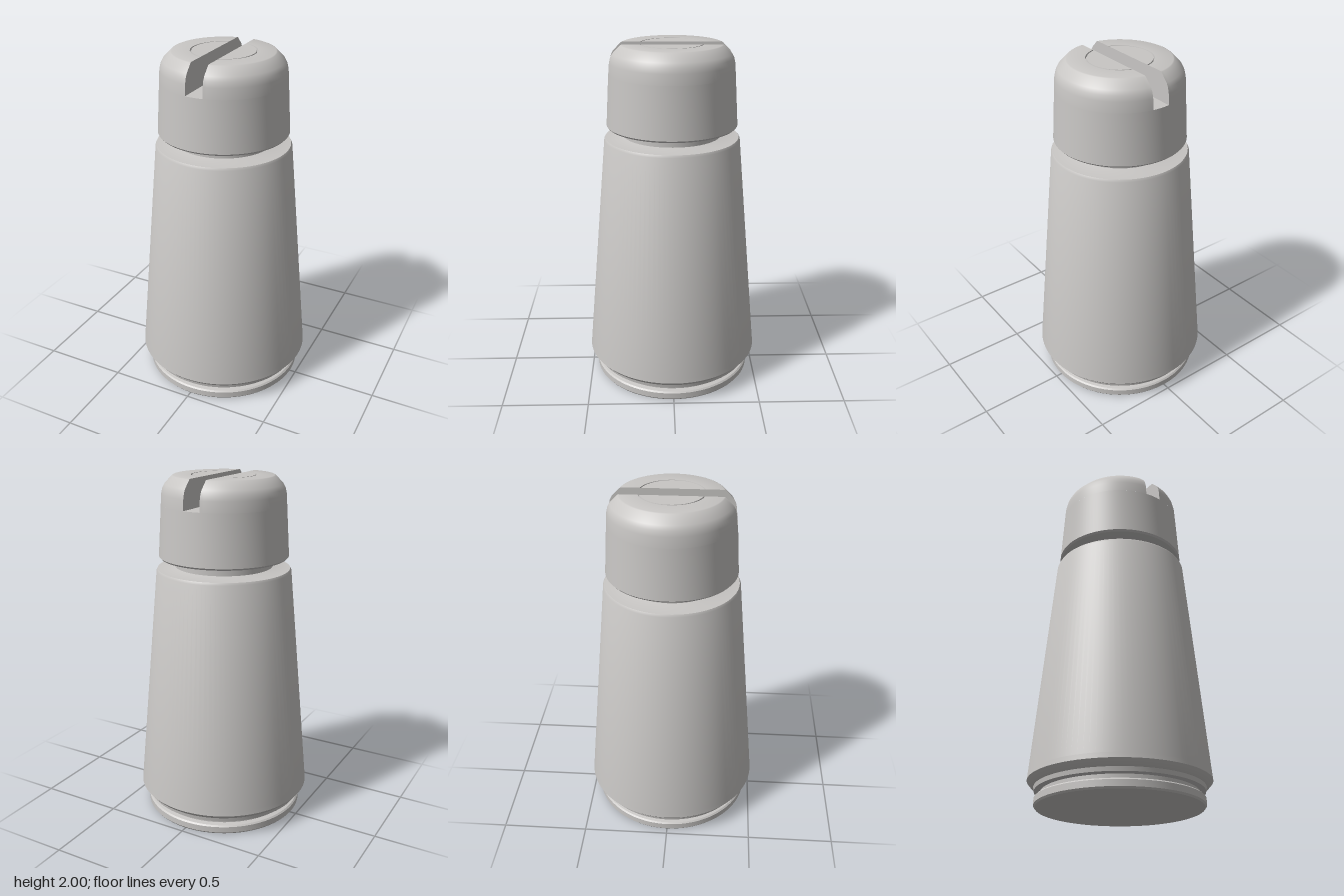
import * as THREE from 'three';
import { toCreasedNormals } from 'three/addons/utils/BufferGeometryUtils.js';

const metal = new THREE.MeshStandardMaterial({ color: 0xc8c6c4 });
metal.name = 'light grey metal';

const CREASE = 0.45;
const SLOT = 0.05; // half width of the slot
const SLOT_FLOOR = 1.84;

// Turned part from [radius, height] pairs, listed upwards
function turned(name, profile) {
  const points = profile.map(([r, y]) => new THREE.Vector2(r, y));
  const mesh = new THREE.Mesh(toCreasedNormals(new THREE.LatheGeometry(points, 96), CREASE), metal);
  mesh.name = name;
  return mesh;
}

// One side of a turned part, cut off by the slot wall at x = SLOT
function slottedHalf(profile, steps = 48) {
  const pos = [];
  const point = (level, k) => {
    const [r, y] = profile[level];
    const a = Math.acos(Math.min(1, SLOT / r)) * (2 * k / steps - 1);
    return [r * Math.cos(a), y, r * Math.sin(a)];
  };
  const quad = (a, b, c, d) => pos.push(...a, ...b, ...c, ...a, ...c, ...d);
  for (let i = 0; i < profile.length - 1; i++) {
    for (let k = 0; k < steps; k++) {
      quad(point(i, k), point(i + 1, k), point(i + 1, k + 1), point(i, k + 1));
    }
    // slot wall, only where the outside rises
    if (profile[i + 1][1] > profile[i][1] && profile[i][0] > 0.2) {
      quad(point(i, 0), point(i, steps), point(i + 1, steps), point(i + 1, 0));
    }
  }
  const geo = new THREE.BufferGeometry();
  geo.setAttribute('position', new THREE.Float32BufferAttribute(pos, 3));
  return toCreasedNormals(geo, CREASE);
}

export function createModel() {
  const model = new THREE.Group();
  model.name = 'slottedPlug';

  // Base disc with the narrow groove above it
  model.add(turned('baseRing', [
    [0, 0], [0.46, 0], [0.468, 0.01], [0.468, 0.045], [0.46, 0.053], [0.435, 0.058], [0.435, 0.082],
  ]));

  // Tapered body with a chamfered lower edge
  model.add(turned('taperedBody', [
    [0.43, 0.08], [0.468, 0.085], [0.472, 0.108], [0.487, 0.117], [0.509, 0.142],
    [0.506, 0.17], [0.387, 1.465], [0.38, 1.478], [0.31, 1.482], [0.27, 1.492],
  ]));

  model.add(turned('neck', [[0.28, 1.47], [0.28, 1.54]]));

  // Solid lower cap, its flat top is the slot floor
  model.add(turned('cap', [
    [0.27, 1.528], [0.32, 1.532], [0.362, 1.54], [0.371, 1.55], [0.353, SLOT_FLOOR], [0, SLOT_FLOOR],
  ]));

  // Two rounded cap halves either side of the slot, with a fine ring groove on top
  const half = slottedHalf([
    [0.353, SLOT_FLOOR], [0.349, 1.9], [0.342, 1.93], [0.33, 1.953], [0.287, 1.997], [0.28, 2],
    [0.183, 2], [0.181, 1.99], [0.177, 1.99], [0.175, 2], [SLOT, 2],
  ]);
  for (const [name, turn] of [['capHalfLeft', 0], ['capHalfRight', Math.PI]]) {
    const mesh = new THREE.Mesh(half, metal);
    mesh.name = name;
    mesh.rotation.y = turn;
    model.add(mesh);
  }
  return model;
}
